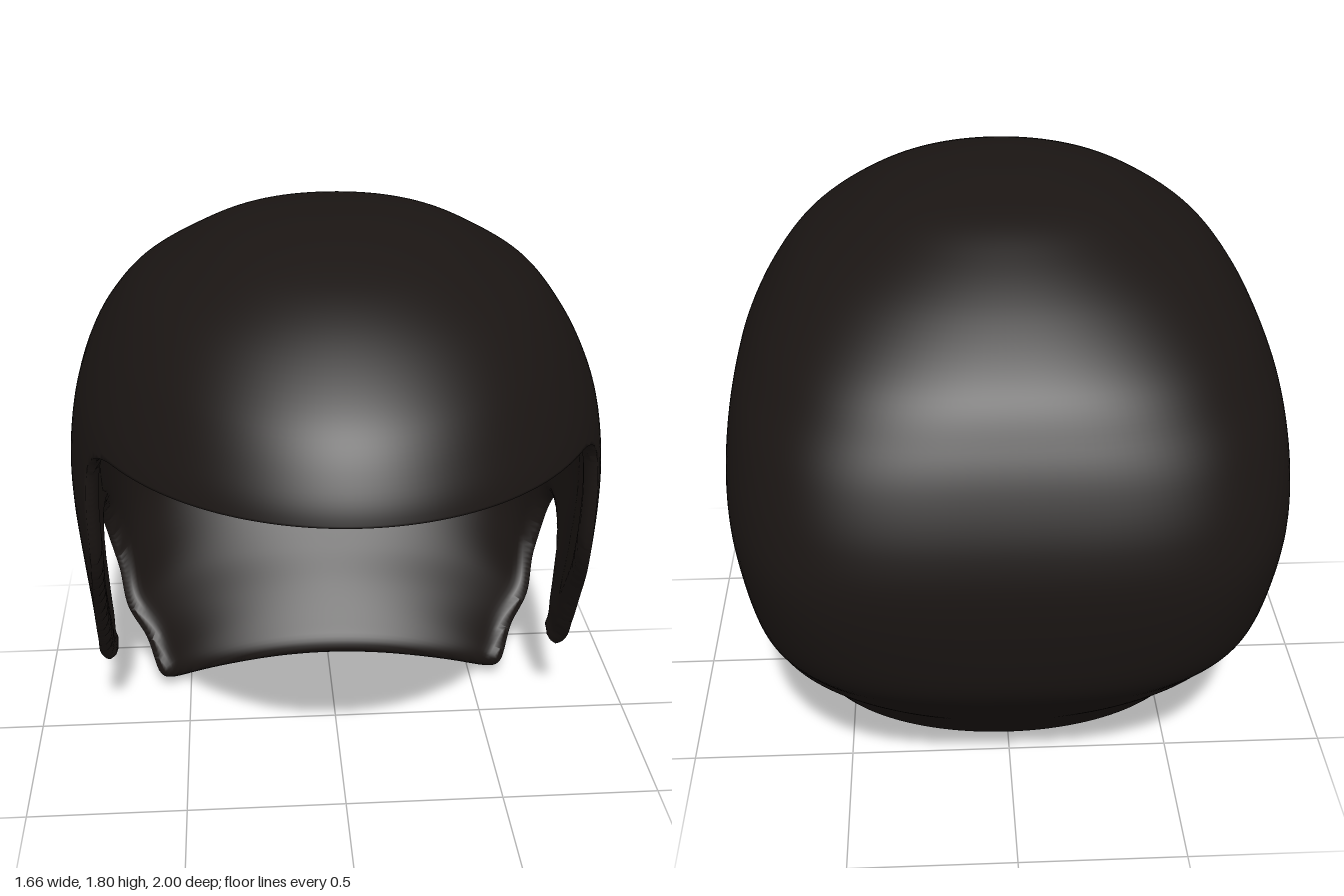
import * as THREE from 'three';
import { mergeVertices } from 'three/addons/utils/BufferGeometryUtils.js';

// Horizontal sections from crown to nape: y, half width, front z, back z, squareness of the back
const SECTIONS = [
  [1.8, 0, 0.03, 0.03, 2], [1.79, 0.16, 0.18, -0.12, 2], [1.75, 0.33, 0.35, -0.33, 2.1],
  [1.68, 0.47, 0.54, -0.49, 2.2], [1.58, 0.61, 0.71, -0.65, 2.4], [1.45, 0.71, 0.865, -0.8, 2.7],
  [1.32, 0.775, 0.955, -0.885, 3], [1.2, 0.81, 1, -0.94, 3.3], [1.05, 0.83, 1, -0.985, 3.5],
  [0.9, 0.83, 1, -1, 3.6], [0.72, 0.815, 1, -0.975, 3.4], [0.55, 0.8, 0.95, -0.92, 3],
  [0.4, 0.79, 0.9, -0.8, 2.5], [0.28, 0.78, 0.85, -0.69, 2.2], [0.18, 0.71, 0.8, -0.59, 2],
  [0.08, 0.655, 0.8, -0.495, 2], [0, 0.6, 0.8, -0.42, 2], [-0.06, 0.56, 0.8, -0.37, 2],
];

// Lower hem seen from the side (z, y): fringe, face opening, side lock, ear notch, nape
const HEM = [
  [1.3, 1.22], [1, 1.22], [0.6, 1.218], [0.5, 1.21], [0.43, 1.18], [0.395, 1.12], [0.39, 1],
  [0.385, 0.88], [0.36, 0.79], [0.31, 0.7], [0.2, 0.55], [0.1, 0.4], [0.03, 0.3], [-0.005, 0.255],
  [-0.03, 0.24], [-0.06, 0.24], [-0.11, 0.25], [-0.12, 0.275], [-0.115, 0.33], [-0.11, 0.45],
  [-0.12, 0.55], [-0.155, 0.62], [-0.21, 0.66], [-0.28, 0.675], [-0.34, 0.66], [-0.39, 0.6],
  [-0.41, 0.52], [-0.4, 0.42], [-0.36, 0.32], [-0.28, 0.2], [-0.22, 0.1], [-0.205, 0.06],
  [-0.23, 0.035], [-0.3, 0.015], [-0.4, 0], [-0.55, 0], [-1.3, 0],
];

const COLS = 200, ROWS = 130, THICKNESS = 0.05;

// Smooth interpolation between the sections
function sectionAt(t) {
  const last = SECTIONS.length - 1;
  const i = Math.min(Math.floor(t * last), last - 1), f = t * last - i;
  const at = k => SECTIONS[Math.max(0, Math.min(last, k))];
  return SECTIONS[0].map((_, c) => {
    const [p, q, r, s] = [at(i - 1)[c], at(i)[c], at(i + 1)[c], at(i + 2)[c]];
    return q + 0.5 * f * (r - p + f * (2 * p - 5 * q + 4 * r - s + f * (3 * (q - r) + s - p)));
  });
}

// Point on the outer surface
function surface(t, angle) {
  const [y, w, front, back, square] = sectionAt(t);
  const mid = -0.05 + 0.08 * Math.max(0, (y - 1.4) / 0.4);
  const c = Math.cos(angle), s = Math.sin(angle), n = s > 0 ? 2 : square;
  const r = (Math.abs(c) ** n + Math.abs(s) ** n) ** (-1 / n);
  return [r * c * w, y, mid + r * s * (s > 0 ? front - mid : mid - back)];
}

// Signed distance to the hem in side view, positive on the part that is kept
function makeHemDistance() {
  const loop = new THREE.SplineCurve(HEM.map(p => new THREE.Vector2(...p))).getPoints(220);
  loop.push(new THREE.Vector2(-1.3, 2.3), new THREE.Vector2(1.3, 2.3));
  return (z, y) => {
    let best = Infinity, inside = false;
    for (let i = 0, j = loop.length - 1; i < loop.length; j = i++) {
      const a = loop[i], b = loop[j], ex = b.x - a.x, ey = b.y - a.y;
      const k = THREE.MathUtils.clamp(((z - a.x) * ex + (y - a.y) * ey) / (ex * ex + ey * ey || 1), 0, 1);
      best = Math.min(best, Math.hypot(z - a.x - k * ex, y - a.y - k * ey));
      if ((a.y > y) !== (b.y > y) && z < a.x + ((y - a.y) / ey) * ex) inside = !inside;
    }
    return inside ? best : -best;
  };
}

function buildShell() {
  // Full dome grid, used for positions and normals
  const pos = [], index = [];
  for (let i = 0; i <= ROWS; i++)
    for (let j = 0; j < COLS; j++) pos.push(...surface(i / ROWS, (j / COLS) * Math.PI * 2));
  for (let i = 0; i < ROWS; i++)
    for (let j = 0; j < COLS; j++) {
      const a = i * COLS + j, b = i * COLS + (j + 1) % COLS;
      if (i > 0) index.push(a, b, a + COLS);
      index.push(b, b + COLS, a + COLS);
    }
  const dome = new THREE.BufferGeometry();
  dome.setAttribute('position', new THREE.Float32BufferAttribute(pos, 3));
  dome.setIndex(index);
  dome.computeVertexNormals();

  const hemDistance = makeHemDistance();
  const verts = [];
  for (let i = 0; i < pos.length / 3; i++) {
    const p = new THREE.Vector3().fromBufferAttribute(dome.attributes.position, i);
    const n = new THREE.Vector3().fromBufferAttribute(dome.attributes.normal, i);
    if (i < COLS) n.set(0, 1, 0);
    verts.push({ p, n, d: hemDistance(p.z, p.y) });
  }

  // Inner wall, thinning towards the hem so the lip is rounded
  const inner = v => {
    const k = THREE.MathUtils.clamp(v.d / 0.05, 0, 1);
    return v.p.clone().addScaledVector(v.n, -THICKNESS * (0.4 + 0.6 * Math.sqrt(k * (2 - k))));
  };
  const out = [];
  const tri = (...points) => points.forEach(p => out.push(p.x, p.y, p.z));

  // Trim every triangle along the hem, then add inner wall and lip
  for (let f = 0; f < index.length; f += 3) {
    const corners = [0, 1, 2].map(k => verts[index[f + k]]);
    const poly = [];
    corners.forEach((a, k) => {
      const b = corners[(k + 1) % 3];
      if (a.d >= 0) poly.push(a);
      if ((a.d >= 0) !== (b.d >= 0)) {
        const m = a.d / (a.d - b.d);
        poly.push({ p: a.p.clone().lerp(b.p, m), n: a.n.clone().lerp(b.n, m).normalize(), d: 0, cut: true });
      }
    });
    for (let k = 1; k + 1 < poly.length; k++) {
      tri(poly[0].p, poly[k].p, poly[k + 1].p);
      tri(inner(poly[0]), inner(poly[k + 1]), inner(poly[k]));
    }
    poly.forEach((a, k) => {
      const b = poly[(k + 1) % poly.length];
      if (!a.cut || !b.cut) return;
      tri(b.p, a.p, inner(a));
      tri(b.p, inner(a), inner(b));
    });
  }
  const raw = new THREE.BufferGeometry();
  raw.setAttribute('position', new THREE.Float32BufferAttribute(out, 3));
  const shell = mergeVertices(raw, 1e-4);
  shell.computeVertexNormals();
  return shell;
}

export function createModel() {
  const group = new THREE.Group();
  group.name = 'hair';
  const shell = new THREE.Mesh(buildShell(), new THREE.MeshStandardMaterial({ color: 0x1a1513 }));
  shell.name = 'hairShell';
  group.add(shell);
  return group;
}
